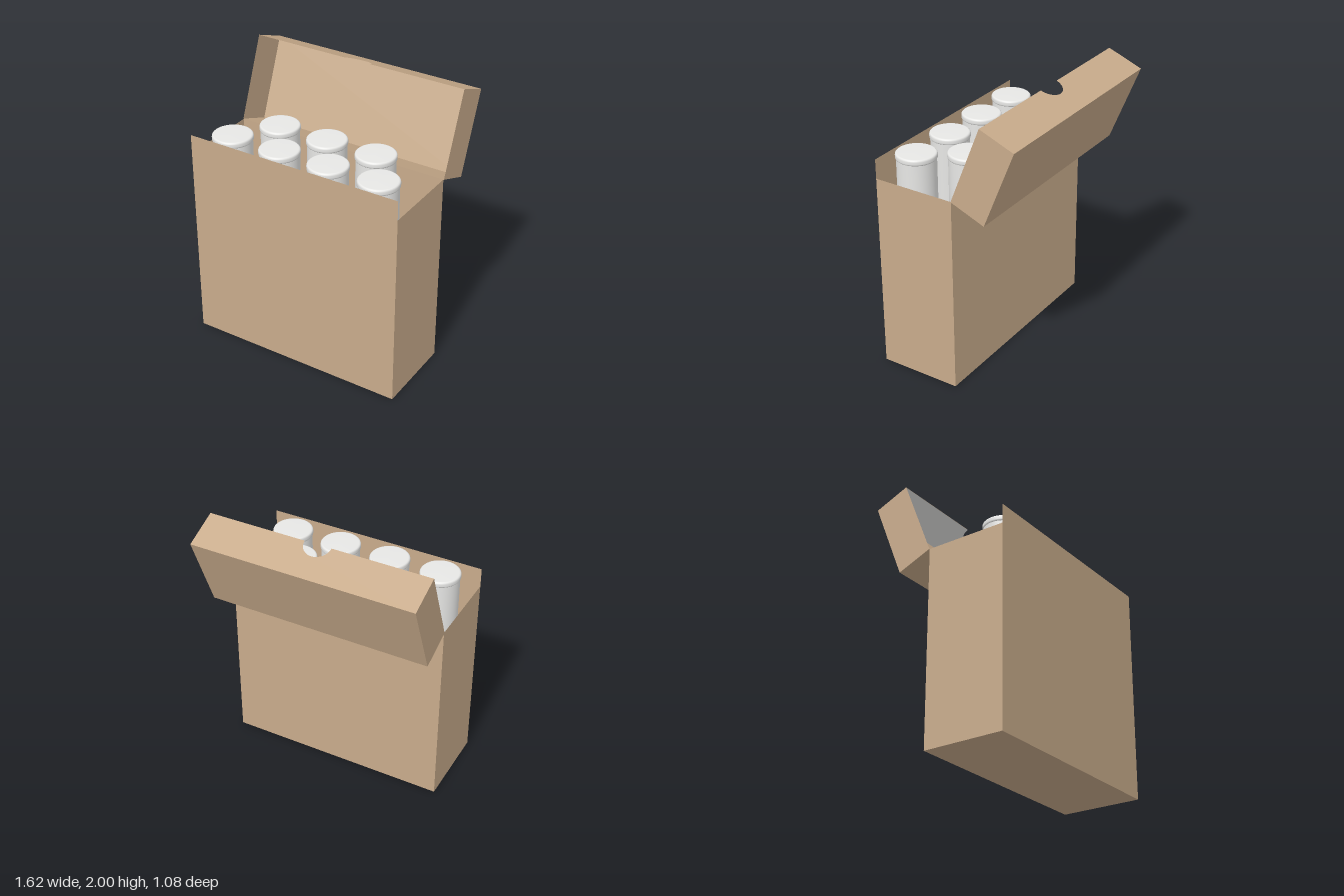
import * as THREE from 'three';

export function createModel() {
  const model = new THREE.Group();
  const card = new THREE.MeshStandardMaterial({ color: 0xc8ab8b, side: THREE.DoubleSide });
  card.name = 'brown cardboard';
  const white = new THREE.MeshStandardMaterial({ color: 0xf6f6f4 });
  white.name = 'white';

  const add = (parent, name, geometry, material, x = 0, y = 0, z = 0) => {
    const mesh = new THREE.Mesh(geometry, material);
    mesh.name = name;
    mesh.position.set(x, y, z);
    parent.add(mesh);
    return mesh;
  };

  // Thin panels of an open carton: facing z, x or y
  const panelZ = (p, name, w, h, y, z) => add(p, name, new THREE.PlaneGeometry(w, h), card, 0, y + h / 2, z);
  const panelX = (p, name, d, h, x, y, z) => {
    add(p, name, new THREE.PlaneGeometry(d, h), card, x, y + h / 2, z).rotation.y = Math.sign(x) * Math.PI / 2;
  };
  const panelY = (p, name, w, d, y, z, up) => {
    add(p, name, new THREE.PlaneGeometry(w, d), card, 0, y, z).rotation.x = up ? -Math.PI / 2 : Math.PI / 2;
  };

  // Carton body, with the front panel standing higher than the rim
  const W = 0.806, H = 1.435, front = 0.54, back = -0.06;
  const depth = front - back, mid = (front + back) / 2;
  const box = new THREE.Group();
  box.name = 'carton';
  model.add(box);
  panelZ(box, 'frontPanel', W * 2, 1.575, 0, front);
  panelZ(box, 'backPanel', W * 2, H, 0, back).rotation.y = Math.PI;
  for (const s of [-1, 1]) panelX(box, s > 0 ? 'leftPanel' : 'rightPanel', depth, H, s * W, 0, mid);
  panelY(box, 'floor', W * 2, depth, 0, mid, false);

  // Lid, a shallow tray swung back on the hinge
  const L = 0.81, D = 0.608, T = 0.273, R = 0.098;
  const lid = new THREE.Group();
  lid.name = 'lid';
  lid.position.set(0, H, back);
  lid.rotation.x = -1.95;
  model.add(lid);
  panelY(lid, 'lidTop', L * 2, D, T, D / 2, true);
  panelZ(lid, 'lidBack', L * 2, T, 0, 0).rotation.y = Math.PI;
  for (const s of [-1, 1]) panelX(lid, s > 0 ? 'lidLeft' : 'lidRight', D, T, s * L, 0, D / 2);

  // Lid front with a half-round thumb notch, white on the inside
  const flap = new THREE.Shape();
  flap.moveTo(-L, 0);
  flap.lineTo(-R, 0);
  flap.absarc(0, 0, R, Math.PI, 0, true);
  flap.lineTo(L, 0);
  flap.lineTo(L, T);
  flap.lineTo(-L, T);
  flap.closePath();
  const flapGeometry = new THREE.ShapeGeometry(flap, 24);
  add(lid, 'lidFront', flapGeometry, card, 0, 0, D);
  add(lid, 'lidFrontLining', flapGeometry, white, 0, 0, D - 0.004).rotation.y = Math.PI;

  // Cans: straight body and a cap with a rounded rim
  const v = (x, y) => new THREE.Vector2(x, y);
  const cap = [v(0.13, 1.538), v(0.137, 1.539), v(0.141, 1.544), v(0.142, 1.55), v(0.142, 1.566),
    v(0.14, 1.574), v(0.135, 1.579), v(0.127, 1.581), v(0, 1.582)];
  const capGeometry = new THREE.LatheGeometry(cap, 48);
  const bodyGeometry = new THREE.CylinderGeometry(0.136, 0.136, 1.53, 48);
  const rows = [[0.38, [-0.573, -0.191, 0.191, 0.573]], [0.094, [-0.382, 0, 0.382]]];
  for (const [z, xs] of rows) {
    for (const x of xs) {
      const can = new THREE.Group();
      can.name = 'can';
      can.position.set(x, 0, z);
      add(can, 'canBody', bodyGeometry, white, 0, 0.775, 0);
      add(can, 'canCap', capGeometry, white);
      model.add(can);
    }
  }
  return model;
}
